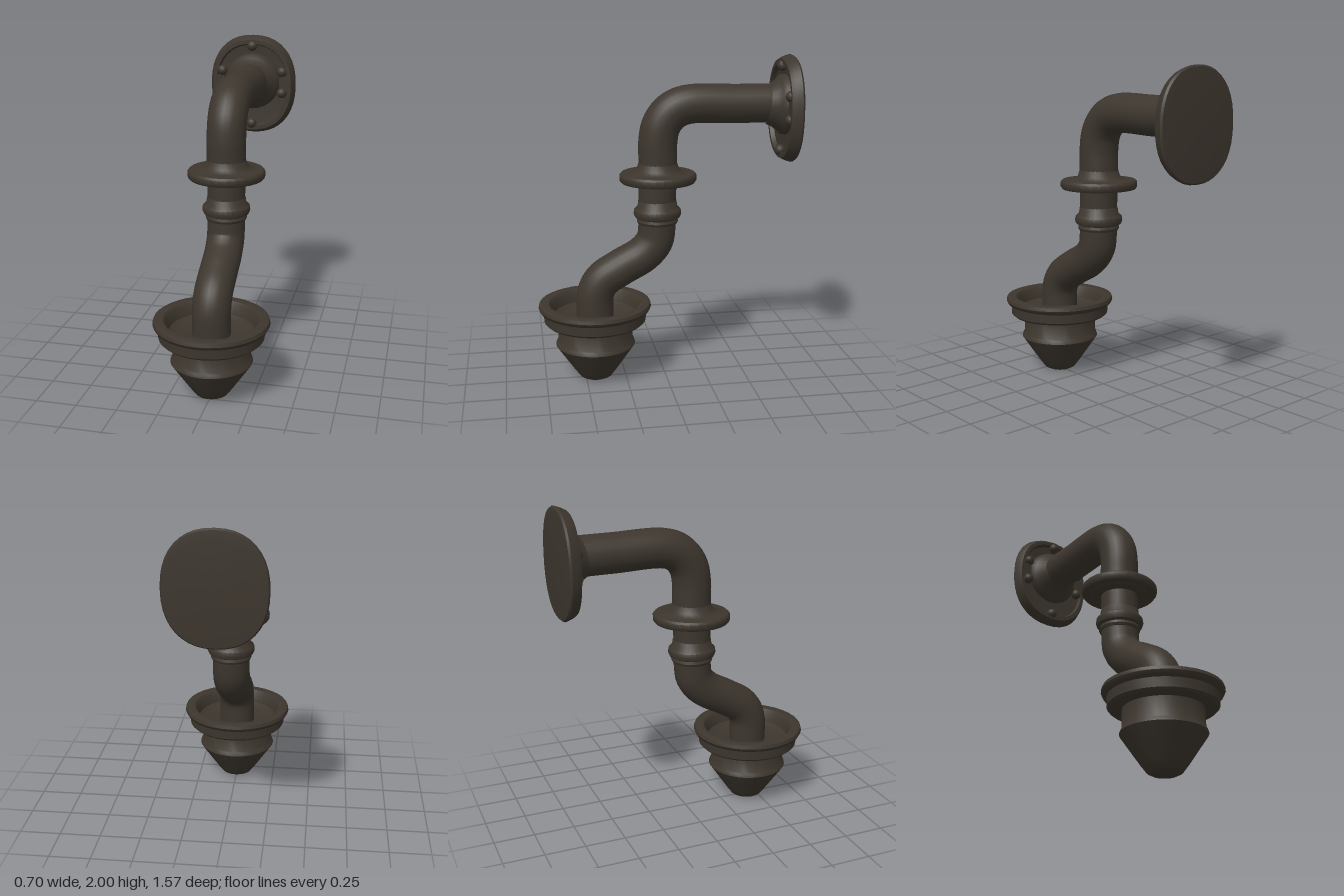
import * as THREE from 'three';
import { toCreasedNormals } from 'three/addons/utils/BufferGeometryUtils.js';

const v2 = ([x, y]) => new THREE.Vector2(x, y);

export function createModel() {
  const group = new THREE.Group();
  const iron = new THREE.MeshStandardMaterial({ color: 0x3d362e });
  iron.name = 'dark iron';

  function add(name, geometry, x = 0, y = 0, z = 0) {
    const mesh = new THREE.Mesh(geometry, iron);
    mesh.name = name;
    mesh.position.set(x, y, z);
    group.add(mesh);
    return mesh;
  }
  const lathe = (points, sides = 28) =>
    toCreasedNormals(new THREE.LatheGeometry(points.map(v2), sides), 0.7);

  // pipes run in the x = 0 plane; points are [z, y]
  function pipe(name, points, radius) {
    const curve = new THREE.CatmullRomCurve3(points.map(([z, y]) => new THREE.Vector3(0, y, z)));
    add(name, new THREE.TubeGeometry(curve, 48, radius, 24));
  }
  pipe('upperPipe', [[-0.76, 1.708], [-0.45, 1.711], [-0.13, 1.71], [-0.04, 1.67],
    [0.02, 1.59], [0.04, 1.49], [0.04, 1.38], [0.04, 1.27]], 0.118);
  pipe('lowerPipe', [[0.04, 1.27], [0.045, 1.12], [0.047, 0.96], [0.062, 0.875], [0.13, 0.795],
    [0.27, 0.715], [0.385, 0.64], [0.43, 0.56], [0.437, 0.4]], 0.115);

  // wide flange and narrow collar halfway down
  add('middleFlange', lathe([[0.1, 1.235], [0.17, 1.24], [0.18, 1.25], [0.225, 1.248], [0.235, 1.262],
    [0.235, 1.29], [0.225, 1.302], [0.16, 1.305], [0.13, 1.325], [0.115, 1.37]]), 0, 0, 0.04);
  add('collar', lathe([[0.1, 0.985], [0.12, 0.99], [0.127, 1.005], [0.122, 1.022], [0.138, 1.03],
    [0.146, 1.05], [0.143, 1.075], [0.122, 1.095], [0.117, 1.13], [0.1, 1.15]]), 0, 0, 0.043);

  // cup with a raised rim, hollow top and tapered foot
  add('cup', lathe([[0, 0], [0.07, 0.003], [0.1, 0.018], [0.135, 0.065], [0.235, 0.212], [0.247, 0.23],
    [0.24, 0.25], [0.232, 0.26], [0.232, 0.372], [0.3, 0.374], [0.315, 0.388], [0.317, 0.445],
    [0.338, 0.455], [0.348, 0.475], [0.342, 0.496], [0.325, 0.502], [0.285, 0.498], [0.268, 0.48],
    [0.255, 0.42], [0.225, 0.4], [0, 0.4]], 36), 0, 0, 0.437);

  // oval wall plate: a turned dish squared off slightly and stretched upward
  const plate = new THREE.LatheGeometry([[0, -0.788], [0.24, -0.788], [0.278, -0.784], [0.286, -0.772],
    [0.275, -0.735], [0.262, -0.712], [0.24, -0.712], [0.232, -0.738], [0.19, -0.742],
    [0, -0.742]].map(v2), 40);
  plate.rotateX(Math.PI / 2);
  const p = plate.attributes.position;
  for (let i = 0; i < p.count; i++) {
    const x = p.getX(i), y = p.getY(i), r = Math.hypot(x, y) || 1;
    const soft = (t) => Math.sign(t) * Math.pow(Math.abs(t), 0.88);
    p.setXY(i, soft(x / r) * r, soft(y / r) * r * 1.137);
  }
  add('wallPlate', toCreasedNormals(plate, 0.7), 0, 1.675, 0);

  // flared root where the pipe meets the plate
  const flare = lathe([[0.185, -0.75], [0.18, -0.715], [0.16, -0.695], [0.135, -0.665],
    [0.122, -0.635], [0.112, -0.62]]);
  add('pipeFlare', flare.rotateX(Math.PI / 2), 0, 1.7, 0);

  // bolts around the plate
  const bolt = new THREE.SphereGeometry(0.034, 14, 10);
  for (const [x, y] of [[0, 1.935], [0, 1.42], [0.2, 1.77], [-0.2, 1.77], [0.2, 1.63], [-0.2, 1.63]])
    add('bolt', bolt, x, y, -0.722);
  for (const side of [-1, 1])
    add('boltLug', new THREE.BoxGeometry(0.055, 0.1, 0.035), side * 0.212, 1.69, -0.73);
  add('topLug', new THREE.BoxGeometry(0.05, 0.05, 0.035), 0, 1.95, -0.73);
  add('bottomLug', new THREE.BoxGeometry(0.05, 0.05, 0.035), 0, 1.4, -0.73);

  return group;
}
